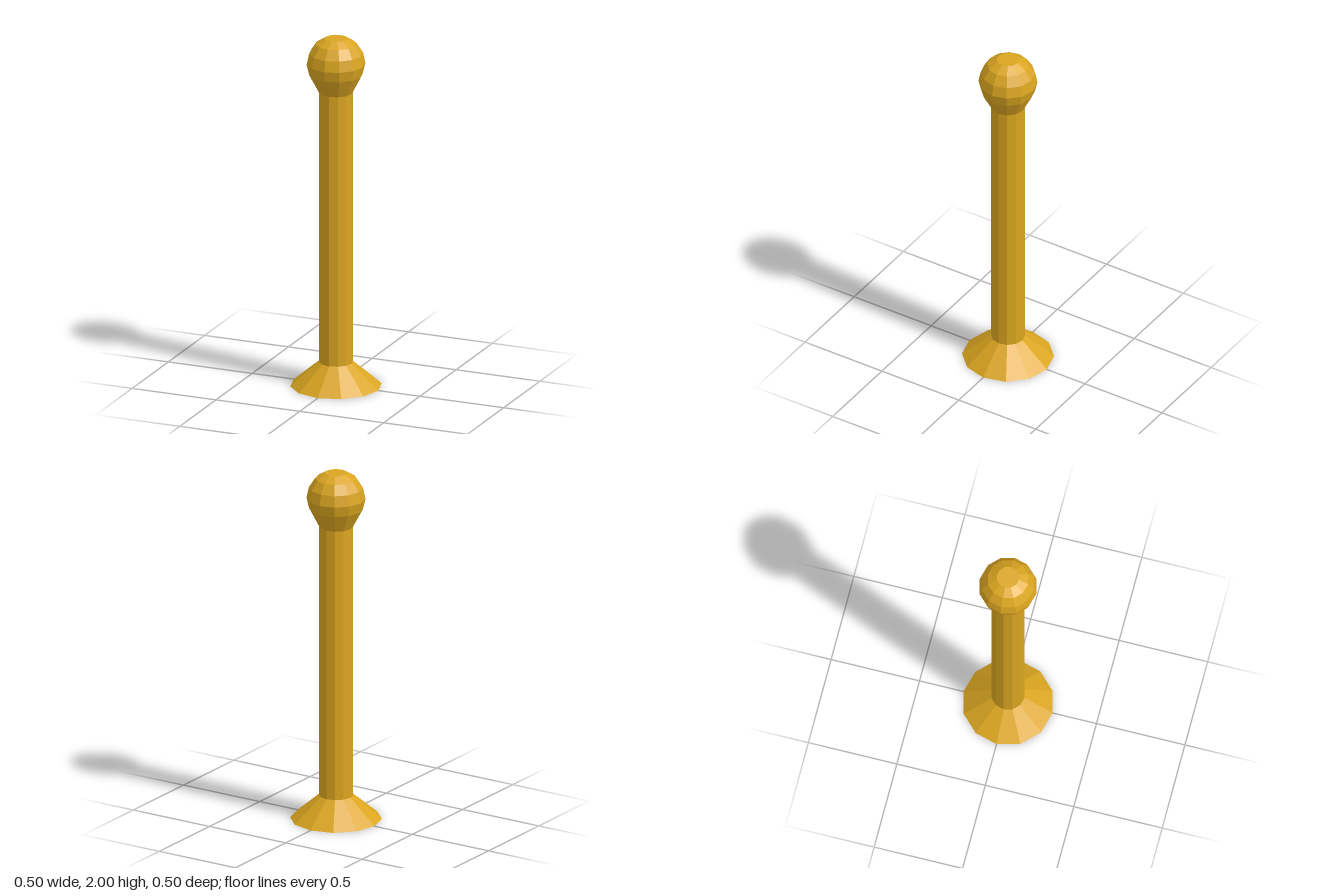
import * as THREE from 'three';

const SIDES = 12;

export function createModel() {
  const group = new THREE.Group();
  const gold = new THREE.MeshStandardMaterial({ color: 0xdaa520, flatShading: true });

  // Turned part from a [radius, height] profile listed bottom to top
  const turned = (name, profile) => {
    const points = profile.map(([r, y]) => new THREE.Vector2(r, y));
    const mesh = new THREE.Mesh(new THREE.LatheGeometry(points, SIDES), gold);
    mesh.name = name;
    group.add(mesh);
  };

  // Flared foot, closed underneath
  turned('base', [[0, 0], [0.252, 0], [0.094, 0.135]]);

  // Straight post
  turned('post', [[0.094, 0.135], [0.094, 1.69]]);

  // Faceted knob with a flat top
  turned('knob', [
    [0.094, 1.69], [0.148, 1.793], [0.162, 1.853],
    [0.149, 1.914], [0.114, 1.968], [0.062, 2], [0, 2],
  ]);

  return group;
}
